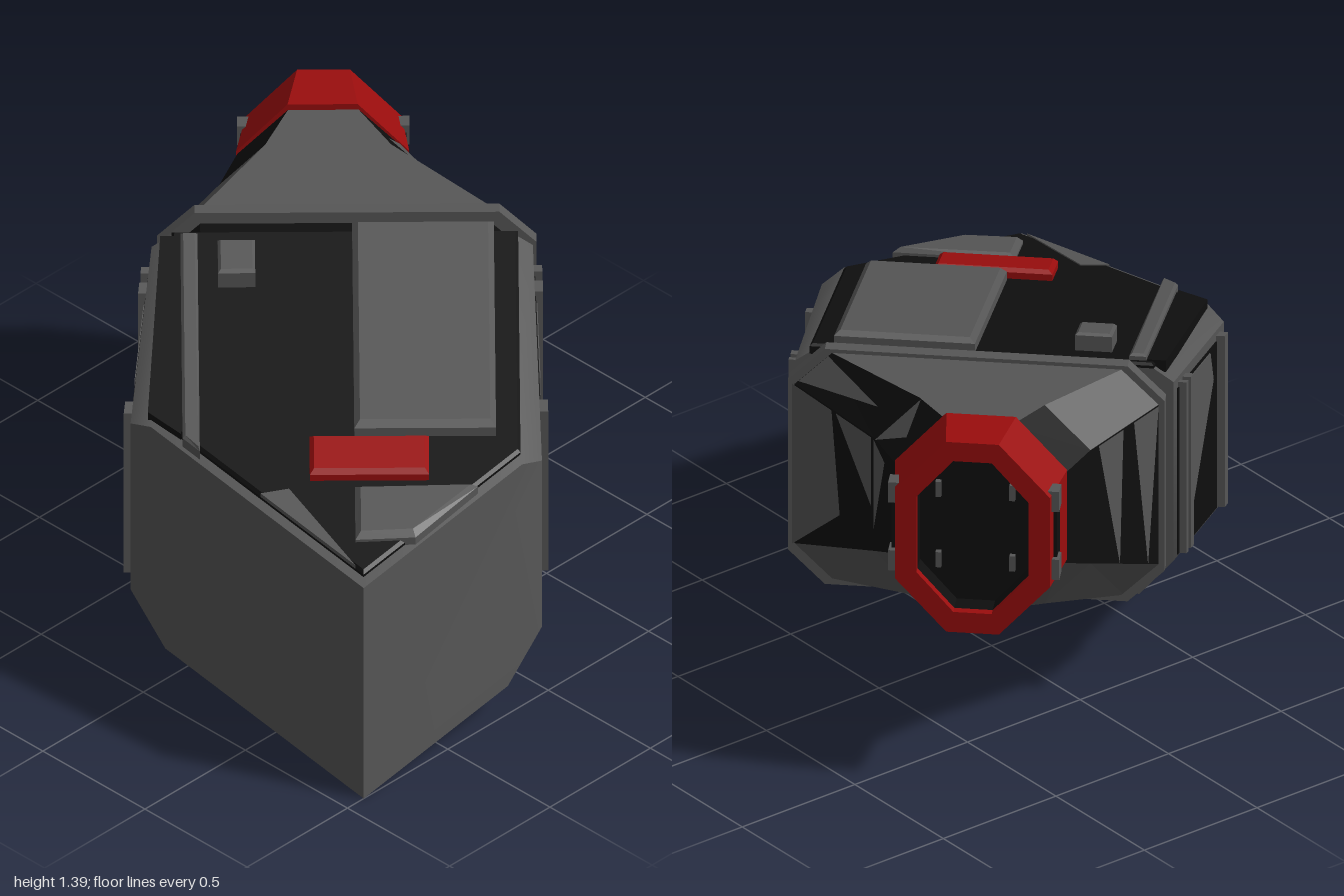
import * as THREE from 'three';
import { toCreasedNormals } from 'three/addons/utils/BufferGeometryUtils.js';

// Local frame: x runs aft, z runs to port; the whole craft is yawed 45 degrees at the end.
const SLOPE = 0.235, BOW = -1.357, KEEL = 0.057;
const rise = u => SLOPE * (u - BOW);
const bowU = v => Math.max(v - 1.414, -1.301 - v);
const sideV = (u, s) => s > 0 ? 0.685 - 0.024 * (u + 0.73) : -0.75 + 0.1 * (u + 0.55);

export function createModel() {
  const root = new THREE.Group();
  root.name = 'craft';
  const mat = (name, color) => {
    const m = new THREE.MeshStandardMaterial({ color });
    m.name = name;
    return m;
  };
  const grey = mat('hull grey', 0x565656);
  const black = mat('panel black', 0x0e0e0e);
  const red = mat('trim red', 0x9a0d0d);

  const add = (name, geo, material) => {
    const mesh = new THREE.Mesh(geo, material);
    mesh.name = name;
    root.add(mesh);
    return mesh;
  };
  const fromTriangles = tris => {
    const g = new THREE.BufferGeometry();
    g.setAttribute('position', new THREE.Float32BufferAttribute(tris.flat(2), 3));
    g.computeVertexNormals();
    return g;
  };
  const fan = pts => pts.slice(2).map((p, i) => [pts[0], pts[i + 1], p]);

  // Skin between rings of equal point count; keep(segment, side) selects facets
  const skin = (rings, keep = () => true) => {
    const tris = [];
    for (let s = 0; s + 1 < rings.length; s++) {
      const a = rings[s], b = rings[s + 1], n = a.length;
      for (let i = 0; i < n; i++) {
        const j = (i + 1) % n;
        if (keep(s, i)) tris.push([a[i], a[j], b[j]], [a[i], b[j], b[i]]);
      }
    }
    return tris;
  };
  // Chamfered rectangle ring at station u
  const oct = (u, v0, v1, y0, y1, dv, dy) => [
    [u, y1, v0 + dv], [u, y1, v1 - dv], [u, y1 - dy, v1], [u, y0 + dy, v1],
    [u, y0, v1 - dv], [u, y0, v0 + dv], [u, y0 + dy, v0], [u, y1 - dy, v0]];
  const capped = rings => [...skin(rings), ...fan(rings.at(-1)), ...fan([...rings[0]].reverse())];

  const shear = g => {
    const p = g.attributes.position;
    for (let i = 0; i < p.count; i++) p.setY(i, p.getY(i) + rise(p.getX(i)));
    g.computeVertexNormals();
    return g;
  };
  // Plan outline [u, v] raised from h0 to h1 along the sloping deck
  const prism = (name, material, pts, h0, h1, bevel = 0) => {
    const shape = new THREE.Shape(pts.map(([u, v]) => new THREE.Vector2(u, -v)));
    const g = new THREE.ExtrudeGeometry(shape, {
      depth: h1 - h0 - bevel, bevelEnabled: bevel > 0, bevelSegments: 1,
      bevelSize: bevel, bevelOffset: -bevel, bevelThickness: bevel });
    g.rotateX(-Math.PI / 2).translate(0, h0, 0);
    return add(name, shear(g), material);
  };
  const rect = (u0, u1, v0, v1) => [[u0, v0], [u1, v0], [u1, v1], [u0, v1]];

  // Side outline [u, h] laid on a hull wall, t thick
  const sidePlate = (name, material, pts, side, t) => {
    const shape = new THREE.Shape(pts.map(([u, h]) => new THREE.Vector2(u, h)));
    const g = new THREE.ExtrudeGeometry(shape, { depth: t + 0.01, bevelEnabled: false });
    const p = g.attributes.position;
    for (let i = 0; i < p.count; i++) {
      const off = side > 0 ? p.getZ(i) - 0.01 : p.getZ(i) - t;
      p.setZ(i, sideV(p.getX(i), side) + off);
    }
    return add(name, shear(g), material);
  };
  const block = (name, material, w, h, d, x, y, z) =>
    add(name, new THREE.BoxGeometry(w, h, d).translate(x, y, z), material);

  // Hull with a right-angled upright bow
  const hullRing = uAt => {
    const pt = (h, side, inset) => {
      let u = uAt, v;
      if (uAt === null) {
        v = side === 0 ? KEEL : side > 0 ? 0.685 - inset : -0.75 + inset;
        u = bowU(v);
      } else v = side === 0 ? KEEL : sideV(uAt, side) - side * inset;
      return [u, h + rise(u), v];
    };
    return [pt(0.9, 0, 0), pt(0.9, 1, 0.07), pt(0.85, 1, 0), pt(0.14, 1, 0), pt(0, 1, 0.12),
      pt(0, 0, 0), pt(0, -1, 0.12), pt(0.14, -1, 0), pt(0.85, -1, 0), pt(0.9, -1, 0.07)];
  };
  const hull = [hullRing(null), hullRing(-0.47), hullRing(0.25)];
  const bow = hull[0];
  const hullGeo = fromTriangles([...skin(hull), ...fan(hull[2]),
    ...fan(bow.slice(0, 6).reverse()), ...fan([bow[0], ...bow.slice(5).reverse()])]);
  add('hull', toCreasedNormals(hullGeo, 0.82), grey);

  // Black deck, its raised plates and rails
  const deckEdge = v => [bowU(v) + 0.05, v];
  prism('deck', black, [deckEdge(KEEL), deckEdge(0.61), [0.25, 0.61], [0.25, -0.6], deckEdge(-0.66)], 0.88, 0.92, 0.01);
  prism('bowDeckStrip', grey, [deckEdge(0.03), deckEdge(-0.3), [-0.93, -0.2]], 0.91, 0.925);
  prism('mainHatch', grey, rect(-0.69, 0.245, 0.03, 0.525), 0.9, 0.975, 0.02);
  prism('redHatch', red, rect(-0.89, -0.715, -0.127, 0.29), 0.9, 0.96, 0.015);
  prism('bowLocker', grey, [[-1.17, 0.03], [-0.93, 0.03], [-0.93, 0.46], [-1.16, 0.24]], 0.9, 0.95, 0.02);
  prism('deckBlock', grey, rect(-0.01, 0.14, -0.44, -0.31), 0.9, 0.99, 0.01);
  prism('starboardRail', grey, [[-0.77, -0.51], [0.22, -0.51], [0.22, -0.57], [-0.71, -0.57]], 0.9, 0.945, 0.01);
  prism('starboardLedge', black, [[-0.68, -0.575], [0.22, -0.575], [0.22, -0.64], [-0.58, -0.69]], 0.88, 0.925);

  // Side wall panels and ribs
  for (const s of [1, -1]) {
    const n = s > 0 ? 'port' : 'starboard';
    sidePlate(n + 'SidePanel', black, [[-0.42, 0.15], [0.2, 0.15], [0.2, 0.81], [-0.42, 0.81]], s, 0.005);
    sidePlate(n + 'PanelInlay', grey, [[-0.35, 0.68], [0.04, 0.2], [0.04, 0.8], [-0.3, 0.8]], s, 0.009);
    for (const [u0, u1] of [[-0.485, -0.43], [0.06, 0.11], [0.15, 0.18]])
      sidePlate(n + 'Rib', grey, [[u0, 0.15], [u1, 0.15], [u1, 0.83], [u0, 0.83]], s, 0.03);
  }

  // Bulkhead: dark groove, then a grey flange
  add('bulkheadGroove', fromTriangles(capped([
    oct(0.24, -0.63, 0.645, 0.42, 1.29, 0.13, 0.13), oct(0.31, -0.63, 0.645, 0.42, 1.29, 0.13, 0.13)])), black);
  add('bulkheadFlange', fromTriangles(capped([
    oct(0.3, -0.65, 0.675, 0.4, 1.335, 0.13, 0.13), oct(0.35, -0.65, 0.675, 0.4, 1.335, 0.13, 0.13)])), grey);

  // Tail cone with black flanks
  const cone = [oct(0.34, -0.635, 0.66, 0.42, 1.32, 0.13, 0.13),
    oct(0.69, -0.43, 0.33, 0.56, 1.35, 0.16, 0.17), oct(0.9, -0.355, 0.22, 0.65, 1.375, 0.18, 0.19)];
  const isFlank = (s, i) => i === 1 || i === 2 || i === 6 || (i === 7 && s === 1);
  add('tailCone', fromTriangles(skin(cone, (s, i) => !isFlank(s, i))), grey);
  add('tailConeFlanks', fromTriangles(skin(cone, isFlank)), black);

  // Flat inlay on one cone facet, corners given as fractions [around, along]
  const inlay = (name, s, i, pts) => {
    const j = (i + 1) % 8, a = cone[s], b = cone[s + 1], out = a[i][2] > 0 ? 0.006 : -0.006;
    const lerp = (p, q, t) => p.map((c, k) => c + (q[k] - c) * t);
    const corners = pts.map(([p, q]) => {
      const [x, y, z] = lerp(lerp(a[i], a[j], p), lerp(b[i], b[j], p), q);
      return [x + 0.004, y + (i === 1 ? 0.005 : 0), z + out];
    });
    add(name, fromTriangles(fan(corners)), grey);
  };
  inlay('portConeInlay', 0, 2, [[0, 0.02], [1, 0.02], [0.75, 0.6], [0, 0.5]]);
  inlay('portConeInlay', 0, 2, [[0, 0.55], [0.6, 0.98], [0, 0.98]]);
  inlay('portConeInlay', 1, 2, [[0, 0.05], [0.8, 0.05], [0.1, 0.5]]);
  inlay('portConeInlay', 0, 1, [[0.1, 0.05], [0.9, 0.05], [0.5, 0.8]]);
  inlay('portConeInlay', 1, 1, [[0, 0.1], [1, 0.1], [0.6, 0.6]]);
  inlay('starboardConeInlay', 0, 6, [[0, 0.2], [1, 0.05], [1, 0.4]]);
  inlay('starboardConeInlay', 0, 6, [[0, 0.6], [1, 0.55], [1, 0.9]]);

  // Red nozzle ring with a dark recess
  const outer = u => oct(u, u < 1 ? -0.37 : -0.335, u < 1 ? 0.235 : 0.21, 0.64, 1.395, 0.18, 0.2);
  const inner = u => oct(u, -0.26, 0.135, 0.72, 1.32, 0.13, 0.15);
  add('nozzleRing', fromTriangles([...skin([outer(0.87), outer(1.08), inner(1.08), inner(1.05)]),
    ...fan(outer(0.87).reverse())]), red);
  add('nozzleRecess', fromTriangles([...skin([inner(1.05), inner(0.98)]), ...fan(inner(0.98))]), black);

  // Dark side inserts and clamps on the nozzle
  for (const s of [1, -1]) {
    const v = s > 0 ? 0.212 : -0.34;
    block('nozzleSideInsert', black, 0.11, 0.32, 0.03, 0.985, 1.02, v);
    for (const y of [0.9, 1.17])
      block('nozzleClamp', grey, 0.06, 0.08, 0.05, 1.03, y, v);
    for (const y of [0.88, 1.16])
      block('recessClip', grey, 0.02, 0.06, 0.02, 0.99, y, -0.062 + s * 0.13);
  }

  root.rotation.y = Math.PI / 4;
  const model = new THREE.Group();
  model.name = 'model';
  model.add(root);
  return model;
}
